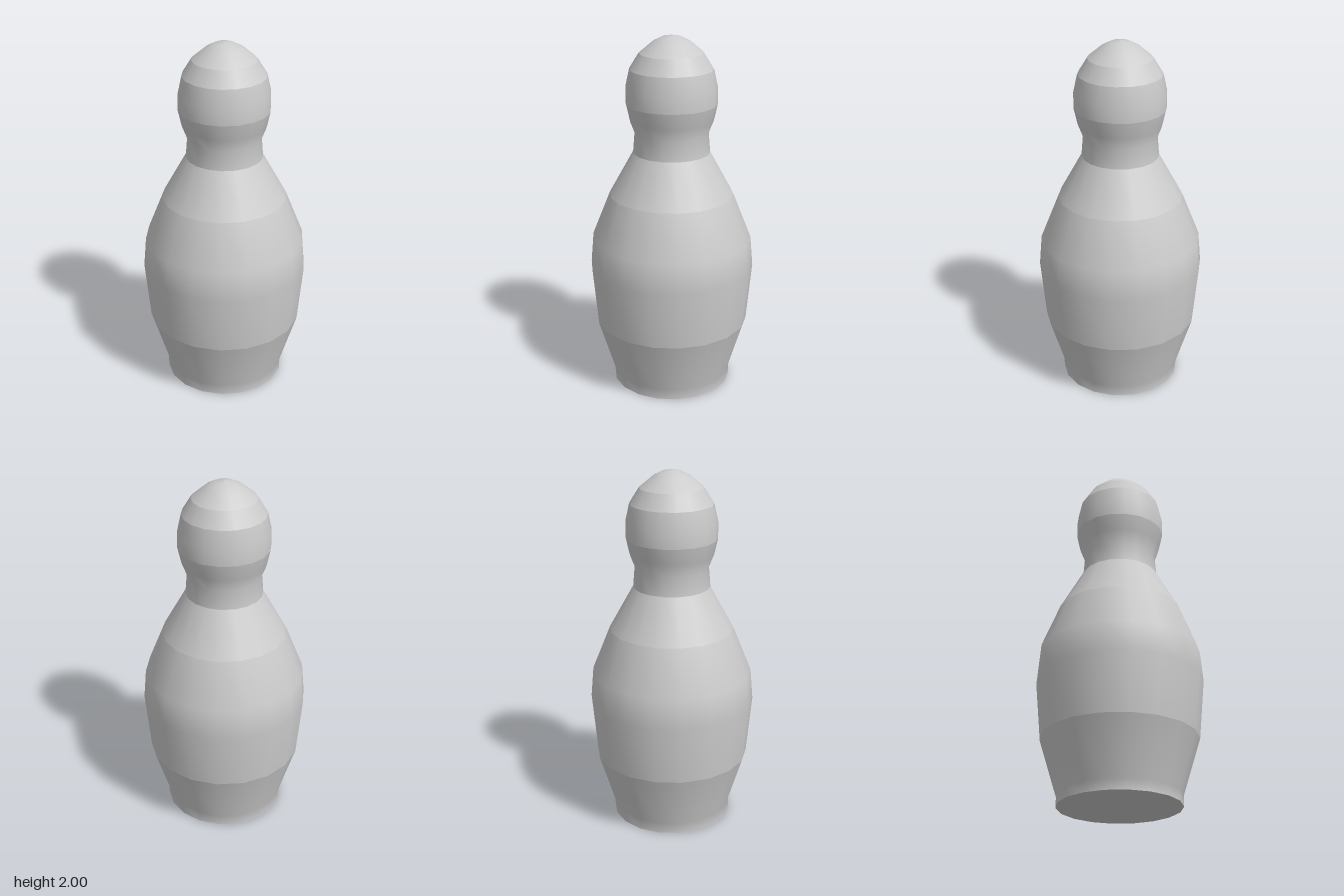
import * as THREE from 'three';

const SIDES = 18;

// Profile bands [radius, height], bottom to top; each band is smooth and meets the next at a crease
const BANDS = {
  base: [[0.335, 0], [0.335, 0.06], [0.43, 0.37]],
  belly: [[0.43, 0.37], [0.46, 0.7], [0.445, 0.87], [0.345, 1.12]],
  shoulder: [[0.345, 1.12], [0.212, 1.36]],
  neck: [[0.212, 1.36], [0.203, 1.47], [0.23, 1.54], [0.25, 1.63]],
  head: [[0.25, 1.63], [0.25, 1.72], [0.228, 1.82]],
  upperHead: [[0.228, 1.82], [0.175, 1.905]],
  crown: [[0.175, 1.905], [0.102, 1.966], [0.053, 1.991], [0, 2]],
};

export function createModel() {
  const group = new THREE.Group();
  group.name = 'pin';
  const material = new THREE.MeshStandardMaterial({ color: 0xcccccc });

  const add = (name, geometry) => {
    const mesh = new THREE.Mesh(geometry, material);
    mesh.name = name;
    group.add(mesh);
  };

  // Turned body, with a corner of the polygon on the x axis
  for (const [name, band] of Object.entries(BANDS)) {
    const points = band.map(([r, y]) => new THREE.Vector2(r, y));
    add(name, new THREE.LatheGeometry(points, SIDES, Math.PI / 2));
  }

  // Flat underside
  add('underside', new THREE.CircleGeometry(BANDS.base[0][0], SIDES).rotateX(Math.PI / 2));

  return group;
}
